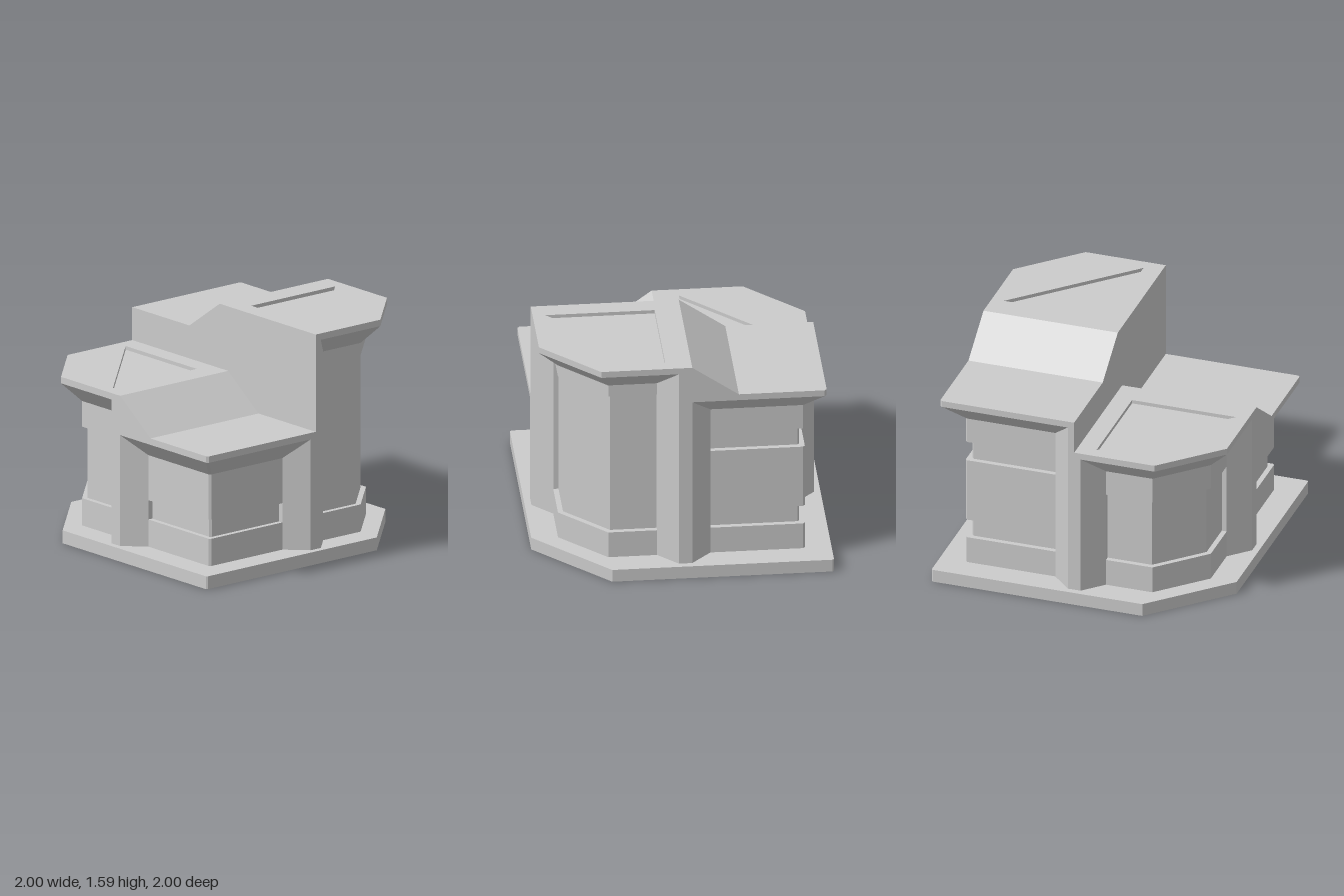
import * as THREE from 'three';

const R = 0.955;     // outer face of piers and roof edge
const W = 0.82;      // wall plane
const G = 0.785;     // groove plane
const P = 0.045;     // half width of a pier
const S = 0.18;      // where the pier splay meets the wall
const BASE = 0.09, PLINTH = 0.28, DENT = 0.025;

const material = new THREE.MeshStandardMaterial({
  color: 0xcccccc, flatShading: true, side: THREE.DoubleSide,
});

// Surface through rows of [x, y, z] points
function loft(rows) {
  const pos = [];
  const tri = (...t) => {
    const [a, b, c] = t.map((p) => new THREE.Vector3(...p));
    if (b.sub(a).cross(c.sub(a)).length() > 1e-8) pos.push(...t.flat());
  };
  for (let i = 0; i + 1 < rows.length; i++) {
    for (let j = 0; j + 1 < rows[i].length; j++) {
      const a = rows[i][j], b = rows[i][j + 1], c = rows[i + 1][j + 1], d = rows[i + 1][j];
      tri(a, b, c);
      tri(a, c, d);
    }
  }
  const g = new THREE.BufferGeometry();
  g.setAttribute('position', new THREE.Float32BufferAttribute(pos, 3));
  g.computeVertexNormals();
  return g;
}

// Horizontal face from [x, z] points, with an optional hole
function flat(points, y, hole) {
  const to2 = ([x, z]) => new THREE.Vector2(x, -z);
  const shape = new THREE.Shape(points.map(to2));
  if (hole) shape.holes.push(new THREE.Path(hole.map(to2)));
  return new THREE.ShapeGeometry(shape).rotateX(-Math.PI / 2).translate(0, y, 0);
}

function add(group, name, geometry) {
  const mesh = new THREE.Mesh(geometry, material);
  mesh.name = name;
  group.add(mesh);
}

// Outline of one quarter: pier, splay, wall, corner, wall, splay, pier
const ring = (p, q) => [[R, 0], [R, P], [W, S], [p, S], [p, q],
  [q, p], [S, p], [S, W], [P, R], [0, R]];
const eaveRing = (q) => [[R, 0], [R, P], [R, P], [R, P], [R, q],
  [q, R], [P, R], [P, R], [P, R], [0, R]];

// Outer skin of a quarter: plinth, grooves, sloping soffit and roof edge
function quarter(side, top, grooves, corner) {
  const wall = ring(W, corner.wall), groove = ring(G, corner.groove);
  const eave = eaveRing(corner.eave);
  const levels = [[BASE, wall]];
  for (const [y0, y1] of grooves) {
    levels.push([y0, wall], [y0, groove], [y1, groove], [y1, wall]);
  }
  levels.push([top - 0.18, wall], [top - 0.045, eave], [top, eave]);
  return loft(levels.map(([y, pts]) => {
    const row = pts.map(([a, b]) => [side * a, y, -b]);
    return side < 0 ? row.reverse() : row;
  }));
}

const cutCorner = { wall: 0.51, groove: 0.495, eave: 0.57 };
const squareCorner = { wall: 0.807, groove: 0.772, eave: 0.94 };

// Half of the building: a high cut-corner quarter and a low square one
function half(name, hi, lo, highGrooves, lowGrooves) {
  const group = new THREE.Group();
  group.name = name;
  add(group, 'highWalls', quarter(1, hi, highGrooves, cutCorner));
  add(group, 'lowWalls', quarter(-1, lo, lowGrooves, squareCorner));

  // Flat high roof with a sunken triangle
  const tri = [[0.13, -0.87], [0.13, -0.13], [0.87, -0.13]];
  add(group, 'highRoof', flat(
    [[-P, 0], [R, 0], [R, -0.57], [0.57, -R], [-P, -R]], hi, tri));
  add(group, 'roofPanel', flat(tri, hi - DENT));
  const loop = [...tri, tri[0]];
  add(group, 'roofPanelRim', loft(
    [hi, hi - DENT].map((y) => loop.map(([x, z]) => [x, y, z]))));

  // Low roof and the slope up to the high roof
  const e = squareCorner.eave;
  add(group, 'lowRoofAndSlope', loft([
    [[-R, lo, 0], [-e, lo, 0], [-0.36, lo, 0], [-P, hi, 0]],
    [[-R, lo, -e], [-e, lo, -R], [-0.36, lo, -R], [-P, hi, -R]],
  ]));
  add(group, 'slopeGable', loft([
    [[0, lo, -R], [-P, lo, -R], [-0.36, lo, -R]],
    [[0, hi, -R], [-P, hi, -R], [-0.36, lo, -R]],
  ]));

  // Upright wall along the middle of the building
  const xs = [-R, -0.36, -P, R], tops = [lo, lo, hi, hi];
  add(group, 'middleWall', loft([
    xs.map((x) => [x, BASE, 0]),
    xs.map((x, i) => [x, tops[i], 0]),
  ]));
  return group;
}

export function createModel() {
  const model = new THREE.Group();
  model.name = 'building';

  // Base slab, open underneath
  const outline = [[1, -0.5], [0.5, -1], [-0.99, -1], [-1, -0.99],
    [-1, 0.5], [-0.5, 1], [0.99, 1], [1, 0.99]];
  const loop = [...outline, outline[0]];
  add(model, 'baseTop', flat(outline, BASE));
  add(model, 'baseSides', loft([0, BASE].map((y) => loop.map(([x, z]) => [x, y, z]))));

  // Tall rear half, and a lower front half turned about the centre
  model.add(half('rearHalf', 1.59, 1.37,
    [[PLINTH, 1.325]], [[PLINTH, 0.415], [0.87, 1.01]]));
  const front = half('frontHalf', 1.14, 0.91,
    [[PLINTH, 0.78]], [[PLINTH, 0.415]]);
  front.rotation.y = Math.PI;
  model.add(front);
  return model;
}
